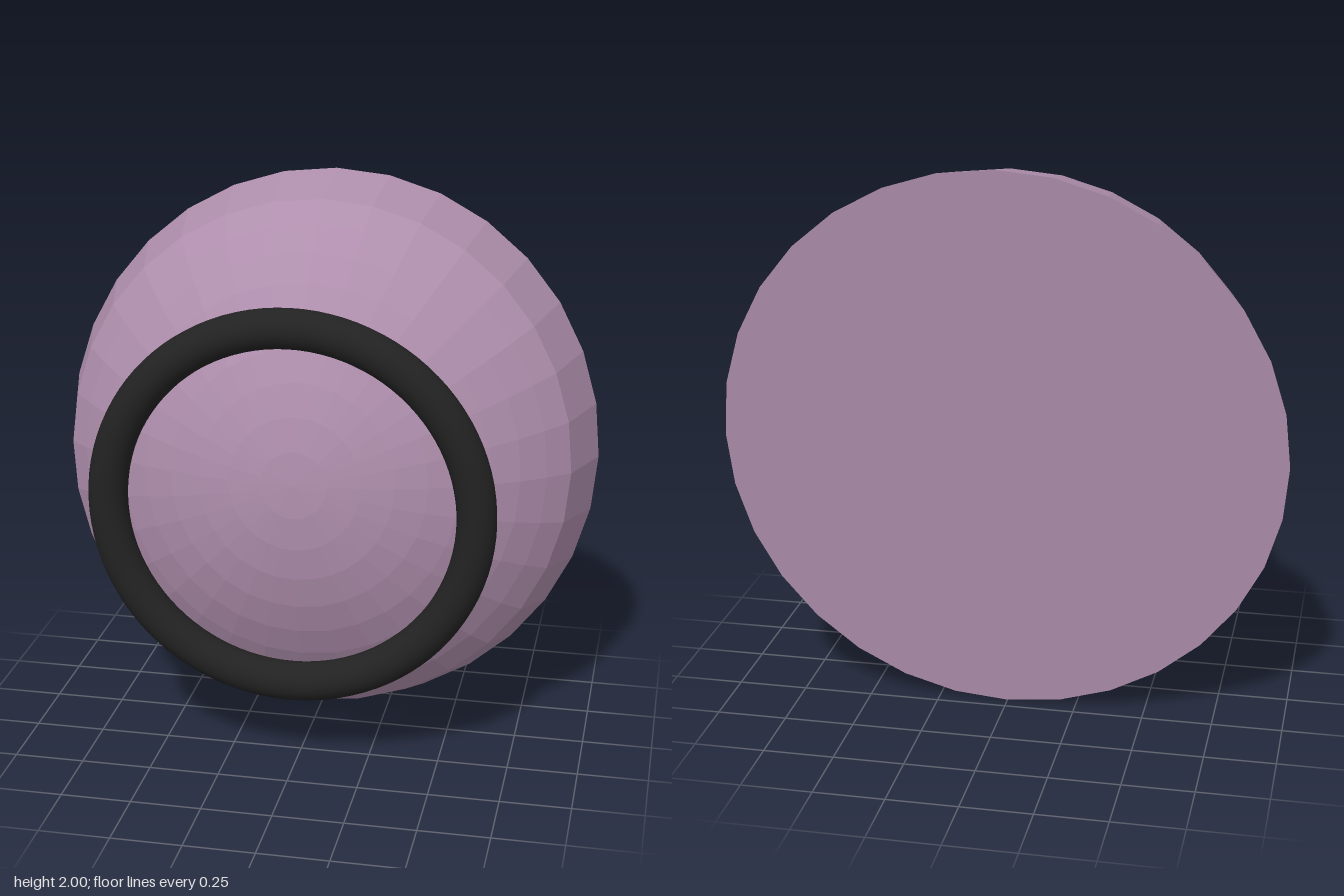
import * as THREE from 'three';

export function createModel() {
  const group = new THREE.Group();
  const mauve = new THREE.MeshStandardMaterial({ color: 0xae8eac, flatShading: true });
  mauve.name = 'mauve';
  const black = new THREE.MeshStandardMaterial({ color: 0x222222 });
  black.name = 'black';

  // Faceted dome: flat back, straight bevelled rim, then a shallow spherical cap
  const R = 1.195, sink = 0.48, step = Math.PI / 32;
  const profile = [new THREE.Vector2(0, 0), new THREE.Vector2(1.0055, 0)];
  for (let i = 9; i >= 0; i--) {
    profile.push(new THREE.Vector2(R * Math.sin(i * step), R * Math.cos(i * step) - sink));
  }
  const domeGeometry = new THREE.LatheGeometry(profile, 32);
  domeGeometry.rotateX(Math.PI / 2);
  domeGeometry.scale(0.985, 1, 1);
  const dome = new THREE.Mesh(domeGeometry, mauve);
  dome.name = 'dome';
  dome.position.set(0, 1, -0.305);
  dome.rotation.set(-0.105, 0.008, 0); // leans back slightly
  group.add(dome);

  // Smooth ring around the front of the dome
  const ring = new THREE.Mesh(new THREE.TorusGeometry(0.647, 0.069, 24, 96), black);
  ring.name = 'ring';
  ring.position.set(-0.02, 0.963, 0.343);
  group.add(ring);

  return group;
}
